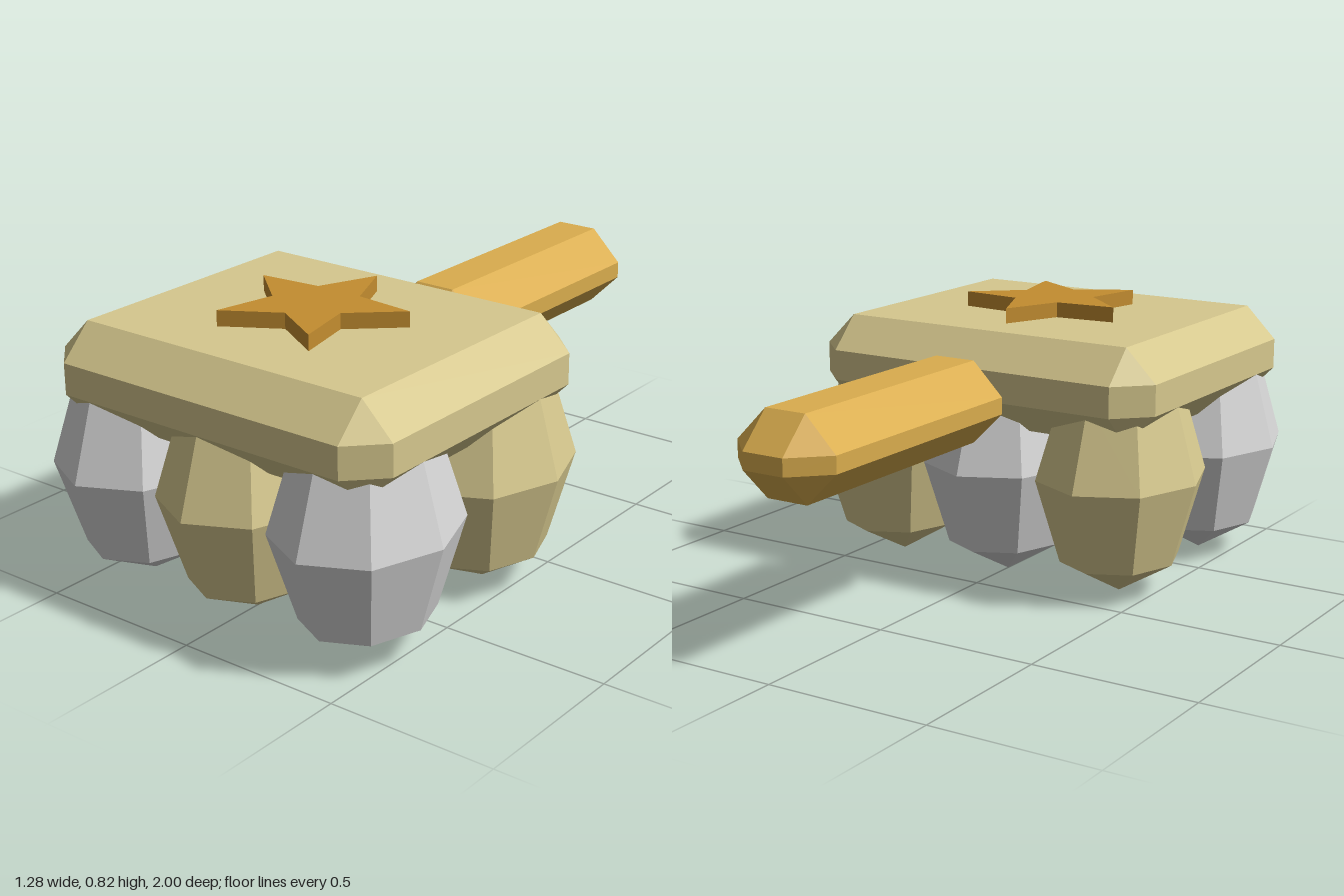
import * as THREE from 'three';
import { ConvexGeometry } from 'three/addons/geometries/ConvexGeometry.js';

const material = (name, color) =>
  Object.assign(new THREE.MeshStandardMaterial({ color, flatShading: true }), { name });

// Box with every edge and corner cut at 45 degrees
function chamferedBox(w, h, d, c) {
  const points = [];
  for (const x of [-w / 2, w / 2])
    for (const y of [-h / 2, h / 2])
      for (const z of [-d / 2, d / 2]) {
        const ix = x - Math.sign(x) * c, iy = y - Math.sign(y) * c, iz = z - Math.sign(z) * c;
        points.push(
          new THREE.Vector3(x, iy, iz),
          new THREE.Vector3(ix, y, iz),
          new THREE.Vector3(ix, iy, z)
        );
      }
  return new ConvexGeometry(points);
}

export function createModel() {
  const group = new THREE.Group();
  const tan = material('tan', 0xd6c88e);
  const grey = material('light grey', 0xd4d4d4);
  const gold = material('golden wood', 0xdaad4e);
  const amber = material('dark amber', 0xc38d30);

  const add = (name, geometry, mat, x, y, z) => {
    const mesh = new THREE.Mesh(geometry, mat);
    mesh.name = name;
    mesh.position.set(x, y, z);
    group.add(mesh);
    return mesh;
  };

  // Head and handle
  add('head', chamferedBox(1.15, 0.286, 0.99, 0.097), tan, 0, 0.632, 0.437);
  add('handle', chamferedBox(0.324, 0.244, 0.98, 0.097), gold, 0, 0.596, -0.51);

  // Two rows of three faceted tufts in alternating colours
  const tuft = new THREE.SphereGeometry(1, 8, 4).scale(0.246, 0.36, 0.29);
  [0.71, 0.18].forEach((z, row) => {
    [-0.393, 0, 0.393].forEach((x, col) => {
      add('tuft', tuft, (row + col) % 2 ? tan : grey, x, 0.36, z);
    });
  });

  // Raised star pointing towards the handle
  const star = new THREE.Shape();
  for (let i = 0; i < 10; i++) {
    const r = i % 2 ? 0.127 : 0.275;
    const a = Math.PI / 2 + (i * Math.PI) / 5;
    star[i ? 'lineTo' : 'moveTo'](r * Math.cos(a), r * Math.sin(a));
  }
  star.closePath();
  const starGeometry = new THREE.ExtrudeGeometry(star, { depth: 0.06, bevelEnabled: false });
  starGeometry.rotateX(-Math.PI / 2);
  add('star', starGeometry, amber, 0, 0.761, 0.437);

  return group;
}
